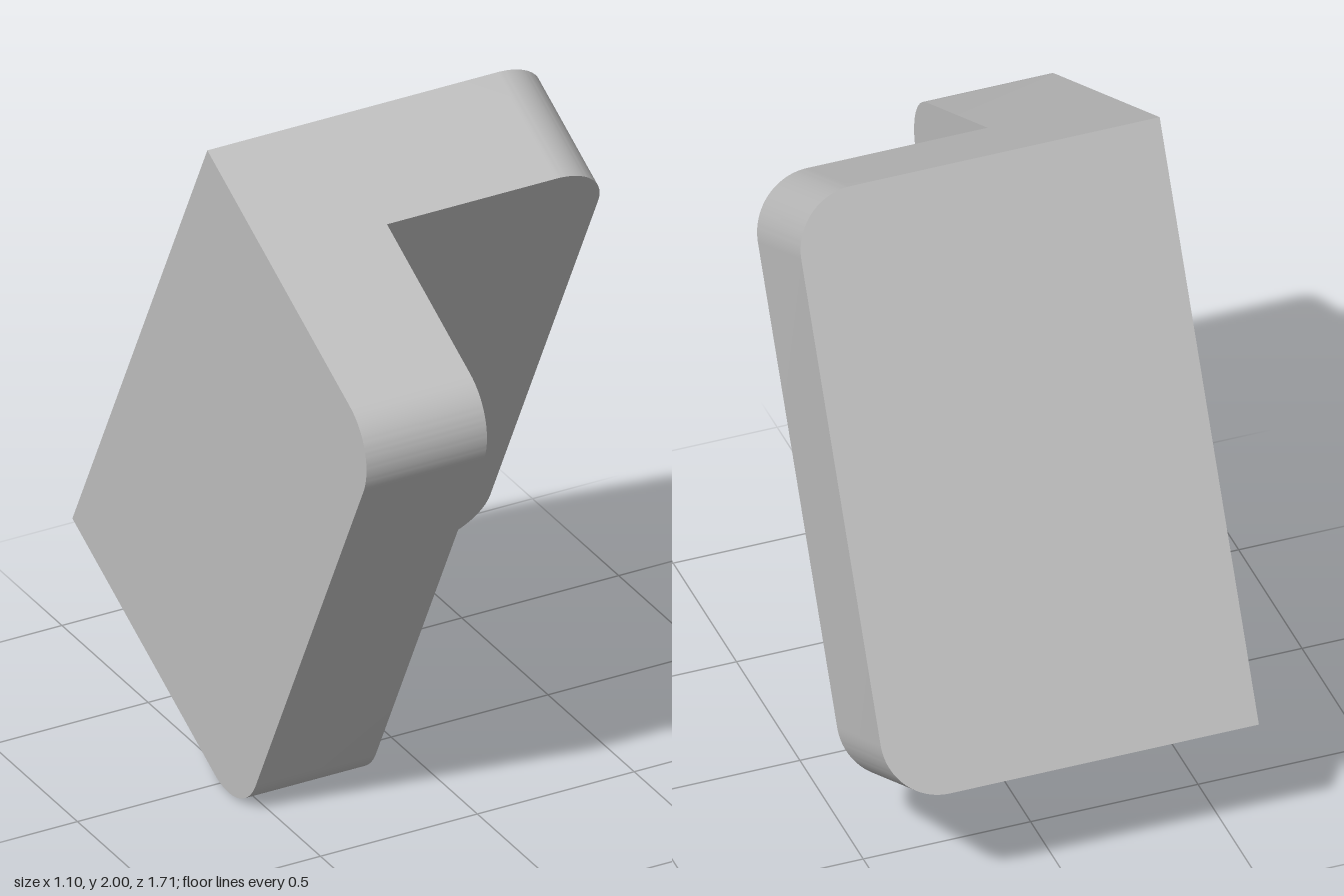
import * as THREE from 'three';
import { toCreasedNormals } from 'three/addons/utils/BufferGeometryUtils.js';

const HEIGHT = 1.751;   // length of the angle section
const FLANGE = 1.1;     // outer width of each flange
const THICK = 0.384;    // wall thickness
const RADIUS = 0.177;   // rounded free corners

// Plate from x = 0 (square edge) to x = width (rounded corners), extruded along z
function plateGeometry(width) {
  const h = HEIGHT / 2, r = RADIUS;
  const shape = new THREE.Shape();
  shape.moveTo(0, -h);
  shape.lineTo(width - r, -h);
  shape.absarc(width - r, -h + r, r, -Math.PI / 2, 0, false);
  shape.lineTo(width, h - r);
  shape.absarc(width - r, h - r, r, 0, Math.PI / 2, false);
  shape.lineTo(0, h);
  shape.closePath();
  return new THREE.ExtrudeGeometry(shape, { depth: THICK, bevelEnabled: false, curveSegments: 16 });
}

export function createModel() {
  const grey = new THREE.MeshStandardMaterial({ color: 0xc0c0c0 });
  grey.name = 'light grey';

  const bracket = new THREE.Group();
  bracket.name = 'angleBracket';
  const addPlate = (name, geometry) => {
    const mesh = new THREE.Mesh(toCreasedNormals(geometry, Math.PI / 6), grey);
    mesh.name = name;
    bracket.add(mesh);
  };

  // Back flange, spanning the full width
  addPlate('backFlange', plateGeometry(FLANGE).translate(-FLANGE / 2, 0, -FLANGE / 2));

  // Side flange, projecting forward from the back flange
  addPlate('sideFlange', plateGeometry(FLANGE - THICK)
    .rotateY(-Math.PI / 2)
    .translate(-FLANGE / 2 + THICK, 0, -FLANGE / 2 + THICK));

  // Whole bracket leans forward
  bracket.rotation.x = Math.atan(0.5);
  bracket.position.set(0, 0.971, 0.035);

  const model = new THREE.Group();
  model.name = 'model';
  model.add(bracket);
  return model;
}
